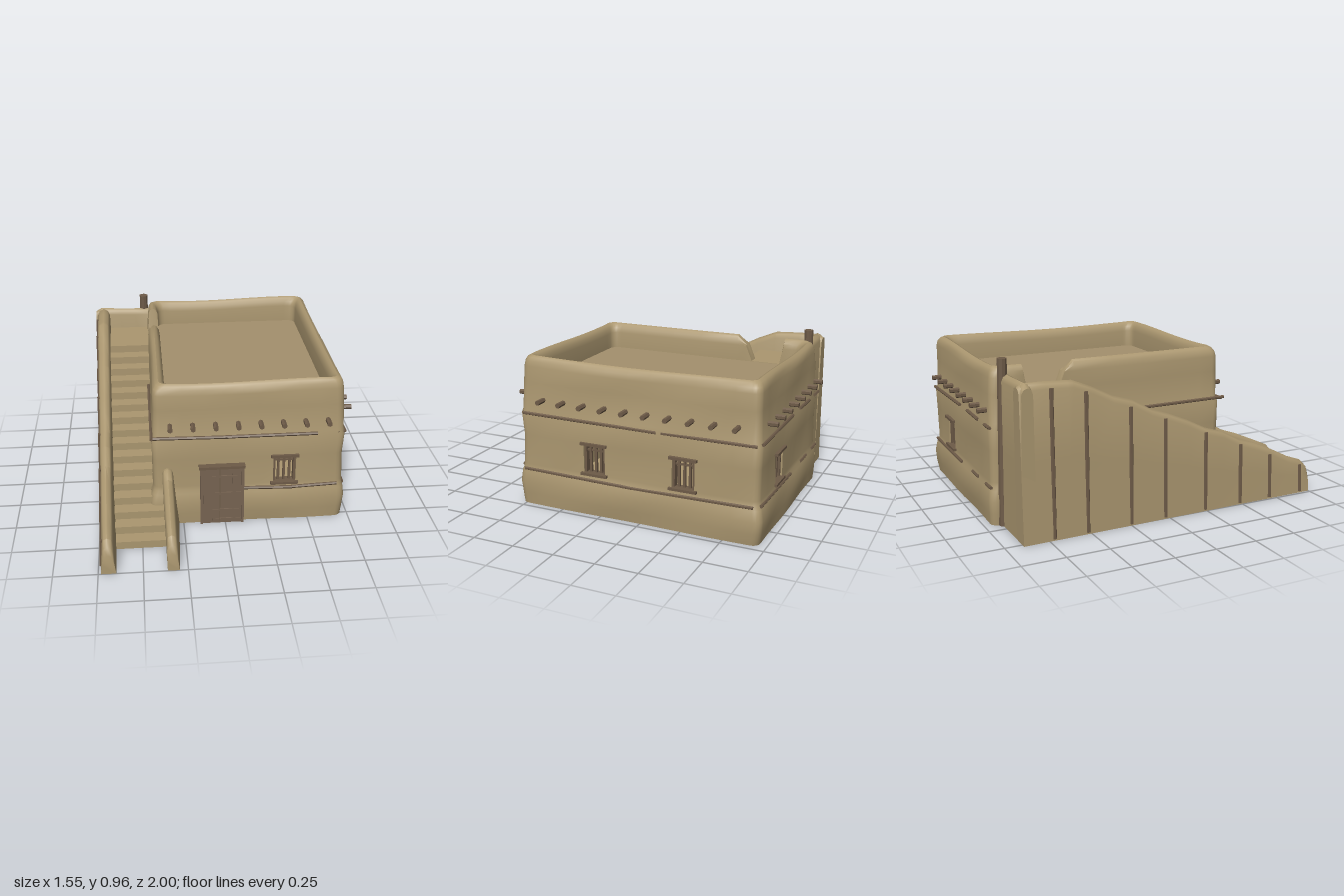
import * as THREE from 'three';
import { toCreasedNormals } from 'three/addons/utils/BufferGeometryUtils.js';

const clay = new THREE.MeshStandardMaterial({ color: 0xab9770, side: THREE.DoubleSide });
clay.name = 'clay';
const roofClay = new THREE.MeshStandardMaterial({ color: 0xa4906d });
roofClay.name = 'roof clay';
const wood = new THREE.MeshStandardMaterial({ color: 0x6e5b48 });
wood.name = 'weathered wood';
const doorWood = new THREE.MeshStandardMaterial({ color: 0x776452 });
doorWood.name = 'door wood';

function add(parent, name, geo, mat) {
  const m = new THREE.Mesh(geo, mat);
  m.name = name;
  parent.add(m);
  return m;
}

function box(parent, name, mat, x0, x1, y0, y1, z0, z1) {
  const m = add(parent, name, new THREE.BoxGeometry(x1 - x0, y1 - y0, z1 - z0), mat);
  m.position.set((x0 + x1) / 2, (y0 + y1) / 2, (z0 + z1) / 2);
  return m;
}

// round timber between two points
function log(parent, name, a, b, r, sides = 6) {
  const p = new THREE.Vector3(...a), q = new THREE.Vector3(...b);
  const geo = toCreasedNormals(new THREE.CylinderGeometry(r, r, p.distanceTo(q), sides), 0.6);
  const m = add(parent, name, geo, wood);
  m.position.copy(p).add(q).multiplyScalar(0.5);
  m.quaternion.setFromUnitVectors(new THREE.Vector3(0, 1, 0), q.sub(p).normalize());
  return m;
}

function makeGeometry(points, index, crease) {
  const g = new THREE.BufferGeometry();
  g.setAttribute('position', new THREE.Float32BufferAttribute(points.flat(), 3));
  g.setIndex(index);
  return toCreasedNormals(g, crease);
}

// House walls: one profile (outside, parapet, inside) swept round a rounded rectangle, with window gaps
const X0 = -0.42, X1 = 0.7, Z0 = -0.945, Z1 = 0.52, R = 0.045;
const ROOF = 0.74;

function houseShell() {
  const ring = [];
  const corner = (sx, sz, start) => {
    const cx = sx > 0 ? X1 - R : X0 + R, cz = sz > 0 ? Z1 - R : Z0 + R;
    for (let k = 0; k <= 4; k++) {
      const a = start + (k / 4) * Math.PI / 2;
      ring.push({ x: cx + R * Math.sin(a), z: cz + R * Math.cos(a), nx: sx, nz: sz });
    }
  };
  const along = [-0.25, -0.12, 0, 0.1, 0.2, 0.285, 0.42, 0.55];
  along.forEach((x) => ring.push({ x, z: Z1, nx: 0, nz: 1, win: x === 0.285 }));
  corner(1, 1, 0);
  [0.38, 0.24, 0.105, -0.03, -0.17, -0.31, -0.445, -0.58, -0.7, -0.8].forEach((z) =>
    ring.push({ x: X1, z, nx: 1, nz: 0, win: z === 0.105 || z === -0.445 }));
  corner(1, -1, Math.PI / 2);
  [...along].reverse().forEach((x) => ring.push({ x, z: Z0, nx: 0, nz: -1, win: x === 0.42 }));
  corner(-1, -1, Math.PI);
  [-0.8, -0.745, -0.72, -0.54, -0.5, -0.44, -0.2, 0, 0.2, 0.38].forEach((z) =>
    ring.push({ x: X0, z, nx: -1, nz: 0, gap: z <= -0.54 && z >= -0.72, low: z === -0.5 }));
  corner(-1, 1, Math.PI * 1.5);

  // height and outward offset of each level
  const profile = [[0, 0.012], [0.07, 0.02], [0.14, 0.024], [0.2, 0.014], [0.225, 0.006], [0.25, 0.004],
    [0.43, 0.004], [0.56, 0.008], [0.585, 0], [0.75, -0.004], [0.84, -0.008], [0.87, -0.014], [0.89, -0.026],
    [0.9, -0.043], [0.892, -0.06], [0.87, -0.073], [0.84, -0.079], [ROOF - 0.01, -0.08],
    [0.43, -0.08], [0.25, -0.08], [0, -0.08]];
  const n = ring.length, L = profile.length, points = [], index = [];
  profile.forEach(([y, d]) => ring.forEach((p) => {
    const wave = 0.008 * Math.sin(p.x * 5 + 2) * Math.cos(p.z * 4 + 0.5);
    let h = y > 0.8 ? y + wave : y;
    if (p.gap) h = Math.min(h, ROOF + 0.003);
    if (p.low) h = Math.min(h, 0.84);
    const o = d + (d > -0.02 ? 0.003 * Math.sin(y * 17 + p.x * 9 + p.z * 7) : 0);
    points.push([p.x + p.nx * o, h, p.z + p.nz * o]);
  }));
  const quad = (a, b, c, d) => index.push(a, b, c, a, c, d);
  for (let j = 0; j < L - 1; j++) for (let i = 0; i < n; i++) {
    const k = (i + 1) % n;
    if (ring[i].win && (j === 5 || j === 18)) continue;
    quad(j * n + i, j * n + k, (j + 1) * n + k, (j + 1) * n + i);
  }
  // window reveals
  ring.forEach((p, i) => {
    if (!p.win) return;
    const o = [5 * n + i, 5 * n + i + 1, 6 * n + i + 1, 6 * n + i];
    const q = [19 * n + i, 19 * n + i + 1, 18 * n + i + 1, 18 * n + i];
    for (let e = 0; e < 4; e++) quad(o[e], o[(e + 1) % 4], q[(e + 1) % 4], q[e]);
  });
  return makeGeometry(points, index, 0.7);
}

// Adobe wall with rounded top; stations are [z, height, xOuterBottom, xOuterTop, xInnerTop, xInnerBottom]
function ridgeWall(stations) {
  const points = [], index = [], n = 9;
  stations.forEach(([z, h, ob, ot, it, ib]) => {
    const w = it - ot, r = Math.min(0.035, h / 3);
    points.push([ib, 0, z], [it + (ib - it) * 0.4, h * 0.5, z], [it, h - r, z], [it - w * 0.15, h - r * 0.3, z],
      [(ot + it) / 2, h, z], [ot + w * 0.15, h - r * 0.3, z], [ot, h - r, z], [ot + (ob - ot) * 0.4, h * 0.5, z], [ob, 0, z]);
  });
  for (let j = 0; j < stations.length - 1; j++) for (let i = 0; i < n; i++) {
    const a = j * n + i, b = j * n + (i + 1) % n;
    index.push(a, b, b + n, a, b + n, a + n);
  }
  const last = (stations.length - 1) * n;
  for (let i = 1; i < n - 1; i++) index.push(0, i + 1, i, last, last + i, last + i + 1);
  return makeGeometry(points, index, 0.8);
}

// Barred window, facing +z in its own frame
function windowUnit(parent, x, z, turn) {
  const g = new THREE.Group();
  g.name = 'window';
  box(g, 'lintel', wood, -0.083, 0.083, 0.424, 0.44, -0.05, 0.018);
  box(g, 'sill', wood, -0.083, 0.083, 0.243, 0.258, -0.05, 0.018);
  for (const s of [-1, 1]) box(g, 'windowJamb', wood, s * 0.06 - 0.007, s * 0.06 + 0.007, 0.258, 0.424, -0.045, -0.01);
  for (const b of [-0.033, 0, 0.033]) box(g, 'windowBar', wood, b - 0.007, b + 0.007, 0.258, 0.424, -0.035, -0.02);
  box(g, 'topRail', wood, -0.06, 0.06, 0.385, 0.395, -0.034, -0.021);
  g.position.set(x, 0, z);
  g.rotation.y = turn;
  parent.add(g);
}

export function createModel() {
  const model = new THREE.Group();
  model.name = 'adobeHouse';

  add(model, 'houseWalls', houseShell(), clay);
  box(model, 'roof', roofClay, X0 + 0.06, X1 - 0.06, ROOF - 0.03, ROOF, Z0 + 0.06, Z1 - 0.06);
  box(model, 'floor', clay, X0 + 0.01, X1 - 0.01, 0.002, 0.012, Z0 + 0.01, Z1 - 0.01);

  // roof beam ends
  for (let i = 0; i < 8; i++) {
    const x = -0.32 + i * 0.131;
    log(model, 'frontBeam', [x, 0.655, 0.46], [x, 0.655, 0.585], 0.015);
    log(model, 'backBeam', [x - 0.03, 0.655, -0.89], [x - 0.03, 0.655, -1.0], 0.015);
  }
  for (let i = 0; i < 10; i++) {
    const z = 0.365 - i * 0.132;
    log(model, 'sideBeam', [0.64, 0.655, z], [0.768, 0.655, z], 0.015);
  }

  // horizontal poles set into the plaster
  const zf = Z1 + 0.01, zb = Z0 - 0.01, xr = X1 + 0.006;
  [
    [[-0.43, 0.58, zf], [0.05, 0.572, zf]], [[0, 0.574, zf], [0.54, 0.573, zf]], [[0.66, 0.57, zf - 0.012], [0.7, 0.565, zf - 0.03]],
    [[0.1, 0.226, zf], [0.4, 0.218, zf + 0.002]], [[0.38, 0.218, zf], [0.67, 0.23, zf]],
    [[xr, 0.565, 0.5], [xr, 0.56, -0.35]], [[xr - 0.004, 0.56, -0.38], [xr - 0.004, 0.562, -0.93]],
    [[xr + 0.003, 0.22, 0.5], [xr + 0.003, 0.208, -0.2]], [[xr + 0.003, 0.208, -0.18], [xr + 0.003, 0.218, -0.92]],
    [[0.68, 0.57, zb], [0.13, 0.575, zb]], [[-0.02, 0.575, zb], [-0.22, 0.57, zb]], [[-0.34, 0.57, zb], [-0.43, 0.57, zb]],
    [[0.68, 0.222, zb], [0.13, 0.215, zb]], [[-0.08, 0.22, zb], [-0.2, 0.222, zb]], [[-0.33, 0.222, zb], [-0.42, 0.222, zb]],
    [[X0 - 0.008, 0.585, 0.55], [X0 - 0.008, 0.58, -0.2]],
  ].forEach(([a, b]) => log(model, 'wallPole', a, b, 0.01));

  // windows
  windowUnit(model, 0.352, Z1 + 0.004, 0);
  windowUnit(model, 0.352, Z0 - 0.004, Math.PI);
  for (const z of [0.0375, -0.5125]) windowUnit(model, X1 + 0.004, z, Math.PI / 2);

  // door
  const door = new THREE.Group();
  door.name = 'door';
  box(door, 'doorPanel', doorWood, -0.14, 0.1, 0, 0.38, 0.5, 0.548);
  for (const x of [-0.15, 0.095]) box(door, 'doorPost', doorWood, x, x + 0.015, 0, 0.38, 0.5, 0.558);
  box(door, 'doorHeader', wood, -0.156, 0.116, 0.378, 0.394, 0.5, 0.565);
  for (const x of [-0.13, -0.084, 0.042]) box(door, 'doorStile', doorWood, x, x + 0.045, 0.02, 0.372, 0.54, 0.553);
  for (const y of [0.02, 0.085, 0.2, 0.315]) box(door, 'doorRail', doorWood, -0.08, 0.09, y, y + 0.014, 0.54, 0.556);
  box(door, 'doorMullion', wood, -0.036, -0.032, 0.02, 0.372, 0.54, 0.556);
  model.add(door);

  // staircase and landing
  const rise = 0.74 / 16, run = 0.084;
  for (let i = 0; i < 15; i++) {
    const z = 0.77 - i * run;
    box(model, 'step', clay, -0.69, i < 4 ? -0.34 : -0.4, Math.max(0, i * rise - 0.01), (i + 1) * rise, z - run - 0.012, z);
  }
  box(model, 'landing', clay, -0.69, -0.4, 0.69, ROOF, -0.85, 0.77 - 15 * run);

  // stair side walls
  const top = (z) => 0.2 + (0.95 - z) * 0.43;
  const outer = [[1, 0.12], [0.985, 0.165], [0.95, 0.2]];
  for (let z = 0.85; z > -0.6; z -= 0.12) outer.push([z, top(z) + 0.008 * Math.sin(z * 21)]);
  outer.push([-0.62, 0.865], [-0.75, 0.872], [-0.87, 0.872], [-0.9, 0.855]);
  add(model, 'outerStairWall', ridgeWall(outer.map(([z, h]) => {
    const t = (1 - z) / 1.9;
    return [z, h, -0.735 - 0.043 * t, -0.722 - 0.032 * t, -0.662 - 0.01 * t, -0.65 - 0.01 * t];
  })), clay);
  const inner = [[1, 0.11], [0.985, 0.16], [0.95, 0.2], [0.85, 0.245], [0.7, 0.31], [0.6, 0.345], [0.54, 0.38], [0.47, 0.38]];
  add(model, 'innerStairWall', ridgeWall(inner.map(([z, h]) => {
    const t = (1 - z) / 0.5;
    return [z, h, -0.365, -0.366 - 0.005 * t, -0.308, -0.298 + 0.024 * t];
  })), clay);
  const back = add(model, 'backStairWall', ridgeWall([[-0.765, 0.855], [-0.73, 0.875], [-0.6, 0.87], [-0.5, 0.867], [-0.38, 0.866]]
    .map(([x, h]) => [x, h, 0.82, 0.825, 0.89, 0.9])), clay);
  back.rotation.y = Math.PI / 2;

  // upright poles on the stair wall and the tall corner post
  [-0.72, -0.52, -0.25, -0.03, 0.24, 0.485, 0.7, 0.93].forEach((z) => {
    const t = (1 - z) / 1.9, h = Math.min(0.84, top(z) - 0.03);
    log(model, 'stairWallPole', [-0.733 - 0.04 * t, 0.01, z], [-0.722 - 0.033 * t, h, z], 0.012);
  });
  log(model, 'cornerPost', [-0.435, 0, -0.893], [-0.435, 0.955, -0.875], 0.028, 10);

  return model;
}
